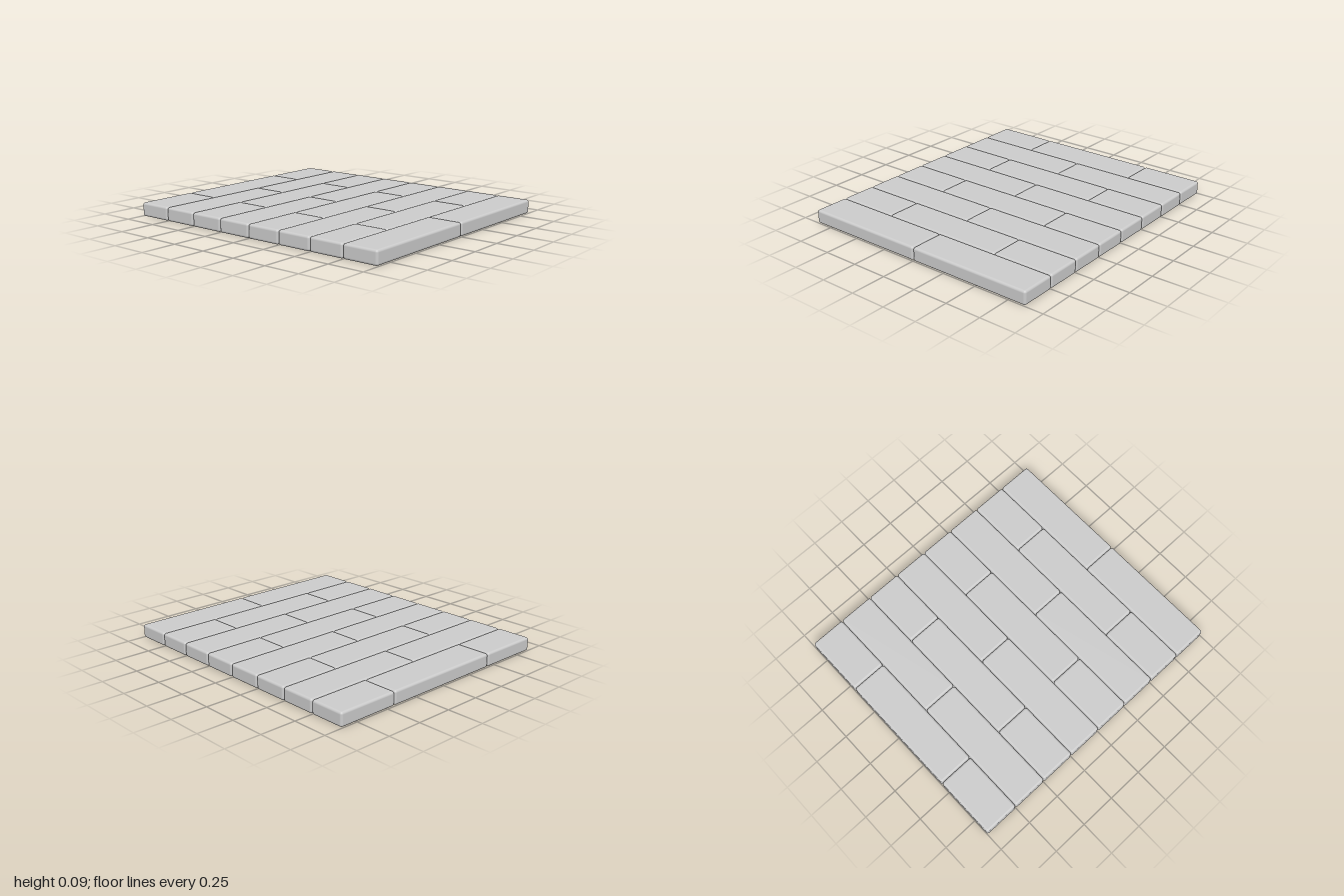
import * as THREE from 'three';
import { RoundedBoxGeometry } from 'three/addons/geometries/RoundedBoxGeometry.js';

const ROWS = 8;
const ROW_DEPTH = 0.25;
const HEIGHT = 0.095;
const LONG = 0.874;      // full brick length
const BEVEL = 0.016;
const GAP = 0.002;       // hairline joint between bricks

export function createModel() {
  const group = new THREE.Group();
  group.name = 'brickPaving';
  const material = new THREE.MeshStandardMaterial({ color: 0xcccccc });

  const brickGeometry = (length) =>
    new RoundedBoxGeometry(length - GAP, HEIGHT, ROW_DEPTH - GAP, 3, BEVEL);
  const fullBrick = brickGeometry(LONG);
  const halfBrick = brickGeometry(LONG / 2);

  const addBrick = (row, name, geometry, x) => {
    const brick = new THREE.Mesh(geometry, material);
    brick.name = name;
    brick.position.x = x;
    row.add(brick);
  };

  // Running bond, from the back row to the front row
  for (let i = 0; i < ROWS; i++) {
    const row = new THREE.Group();
    row.name = `brickRow${i + 1}`;
    row.position.set(0, HEIGHT / 2, (i - (ROWS - 1) / 2) * ROW_DEPTH);
    if (i % 2 === 0) {
      // One full brick between two halves
      addBrick(row, 'fullBrick', fullBrick, 0);
      for (const s of [-1, 1]) addBrick(row, 'halfBrick', halfBrick, s * LONG * 0.75);
    } else {
      // Two full bricks meeting in the middle
      for (const s of [-1, 1]) addBrick(row, 'fullBrick', fullBrick, s * LONG / 2);
    }
    group.add(row);
  }
  return group;
}
